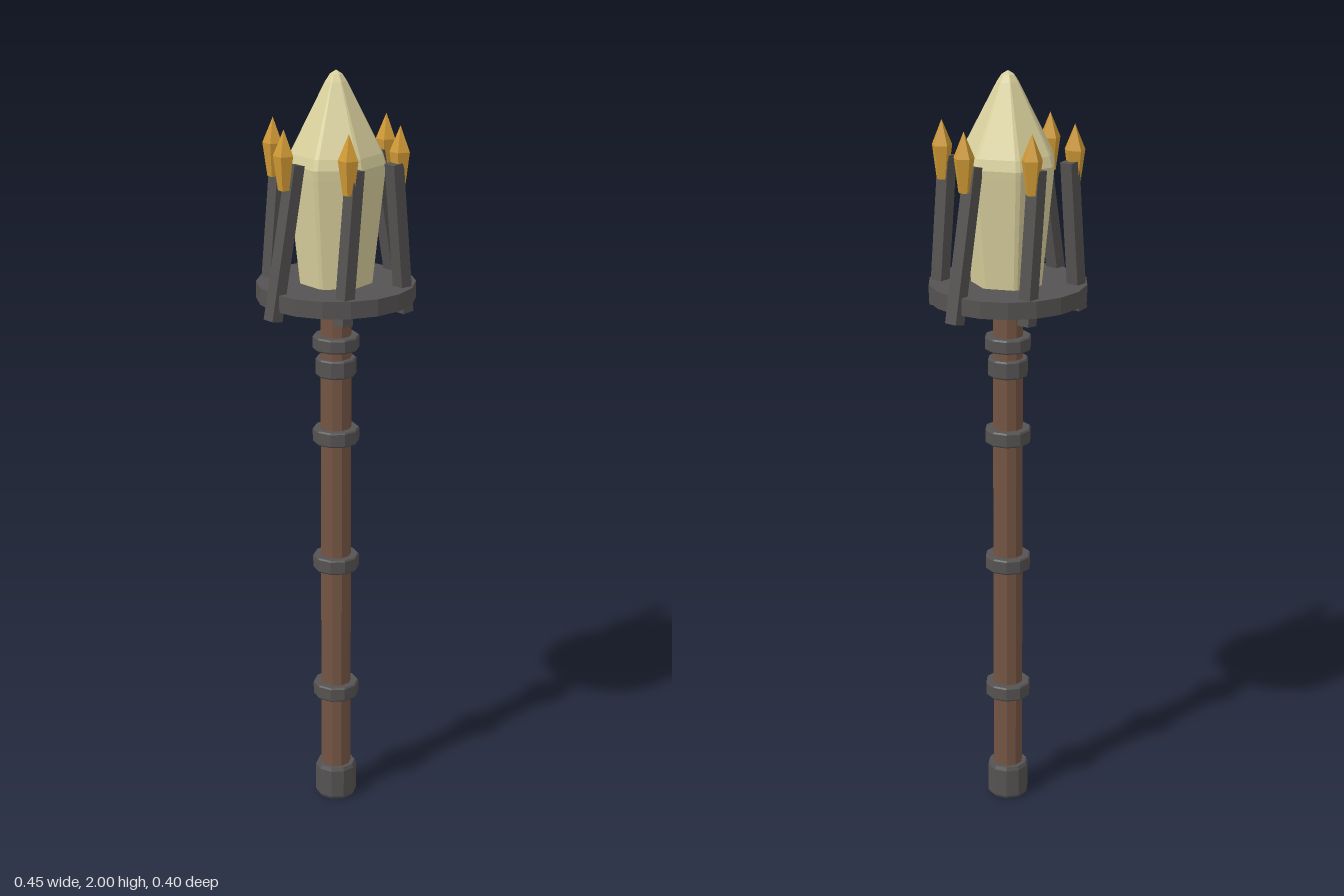
import * as THREE from 'three';

const crystalMat = new THREE.MeshStandardMaterial({ color: 0xd8cf9c });
crystalMat.name = 'pale crystal';
const ironMat = new THREE.MeshStandardMaterial({ color: 0x555352 });
ironMat.name = 'dark iron';
const woodMat = new THREE.MeshStandardMaterial({ color: 0x745543 });
woodMat.name = 'brown wood';
const goldMat = new THREE.MeshStandardMaterial({ color: 0xd09a35 });
goldMat.name = 'gold';

// Faceted normals for a hard-edged low-poly look
function flat(geometry) {
  const g = geometry.index ? geometry.toNonIndexed() : geometry;
  g.computeVertexNormals();
  return g;
}

// Lathe from [radius, y] pairs, with its first corner on +x
function turned(points, sides, start = Math.PI / 2) {
  return new THREE.LatheGeometry(points.map(p => new THREE.Vector2(...p)), sides, start);
}

export function createModel() {
  const root = new THREE.Group();
  root.name = 'mace';
  const add = (name, geometry, material) => {
    const mesh = new THREE.Mesh(flat(geometry), material);
    mesh.name = name;
    root.add(mesh);
    return mesh;
  };

  // Shaft and pommel
  add('shaft', turned([[0, 0.05], [0.04, 0.05], [0.04, 1.38], [0, 1.38]], 10), woodMat);
  add('pommel', turned([[0, 0], [0.051, 0], [0.0555, 0.008], [0.0555, 0.085], [0.051, 0.095], [0, 0.095]], 10), ironMat);

  // Rings around the shaft: [centre y, radius, height]
  for (const [y, r, h] of [[0.32, 0.061, 0.04], [0.693, 0.061, 0.04], [1.05, 0.061, 0.04],
    [1.237, 0.053, 0.048], [1.302, 0.061, 0.037]]) {
    const a = y - h / 2, b = y + h / 2;
    add('shaftRing', turned([[0, a], [r - 0.003, a], [r, a + 0.004], [r, b - 0.004], [r - 0.003, b], [0, b]], 10), ironMat);
  }

  // Round plate under the head
  const plate = add('headPlate', new THREE.CylinderGeometry(0.204, 0.204, 0.044, 18, 1, false, Math.PI / 18), ironMat);
  plate.position.y = 1.441;

  // Seven-sided crystal: 14 segments gathered in pairs to form narrow bevelled corners
  const crystal = turned([[0, 1.395], [0.065, 1.415], [0.09, 1.43], [0.124, 1.745], [0.126, 1.77],
    [0.118, 1.797], [0.1, 1.832], [0.028, 1.972], [0.016, 1.99], [0, 2]], 14, 0);
  const pos = crystal.attributes.position, step = Math.PI / 7;
  for (let i = 0; i < pos.count; i++) {
    const r = Math.hypot(pos.getX(i), pos.getZ(i));
    const k = Math.round(Math.atan2(pos.getX(i), pos.getZ(i)) / step + 14) % 14;
    const corner = Math.floor(k / 2) * 2 * step + (k % 2 ? 0.05 : -0.05) + Math.PI / 2;
    pos.setX(i, r * Math.sin(corner));
    pos.setZ(i, r * Math.cos(corner));
  }
  add('crystal', crystal, crystalMat);

  // Leaning prongs with gold tips: [bottom x, top x, tip x, z]
  for (const side of [-1, 1]) {
    for (const [x0, x1, tipX, z] of [[0.207, 0.132, 0.168, 0], [0.102, 0.064, 0.084, 0.146], [0.102, 0.064, 0.084, -0.146]]) {
      const dx = x1 - x0, dy = 0.385;
      const prong = add('prong', new THREE.BoxGeometry(0.033, Math.hypot(dx, dy), 0.035), ironMat);
      prong.position.set(side * (x0 + x1) / 2, 1.588, z);
      prong.rotation.z = -Math.atan2(side * dx, dy);

      const tip = add('prongTip', turned([[0, 1.722], [0.015, 1.722], [0.027, 1.808], [0, 1.873]], 5), goldMat);
      tip.position.set(side * tipX, 0, z);
    }
  }
  return root;
}
